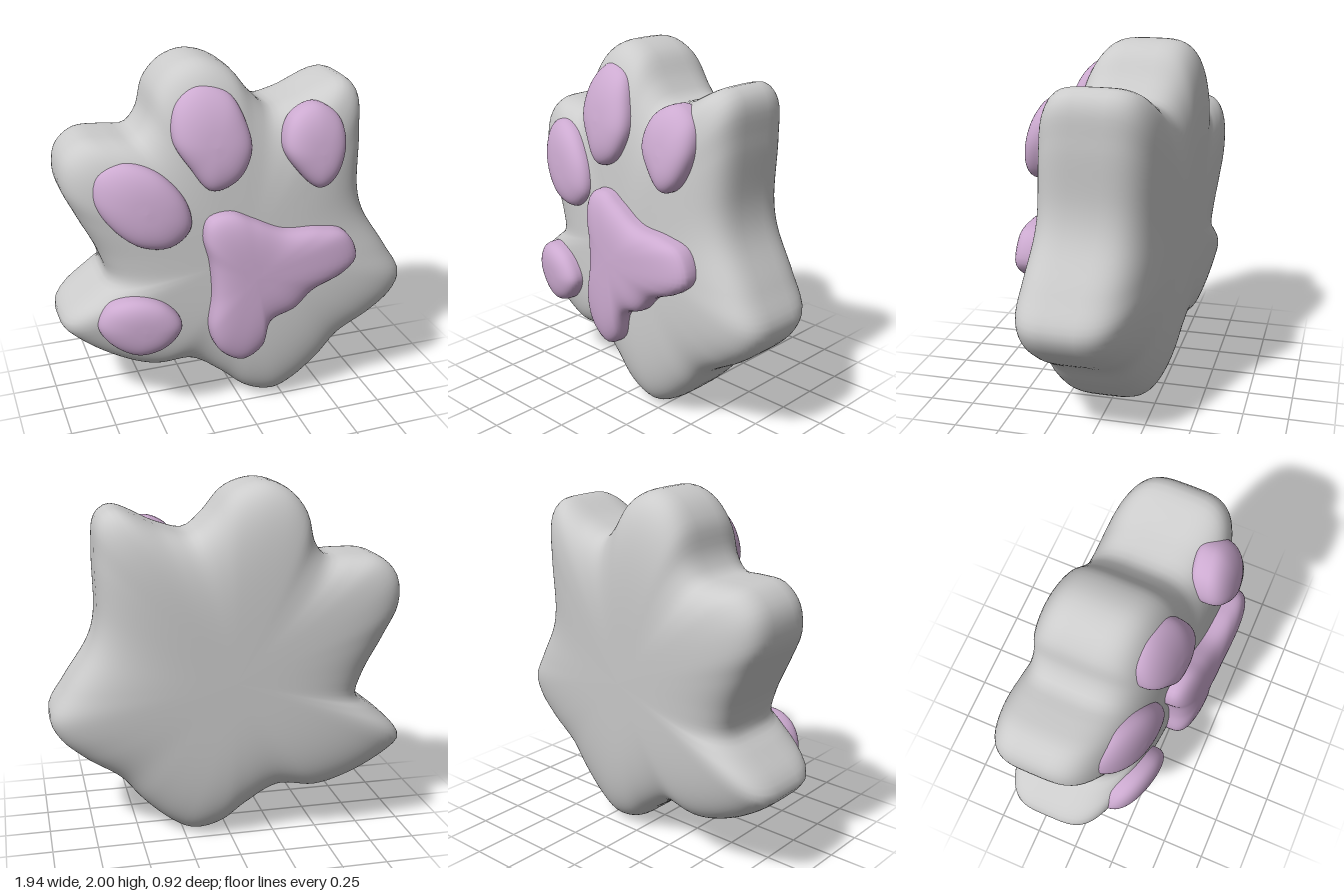
import * as THREE from 'three';

const grey = new THREE.MeshStandardMaterial({ color: 0xcccccc });
const pink = new THREE.MeshStandardMaterial({ color: 0xccaad0 });

// The whole paw lies in a slightly tilted slab: this is its mid-plane.
const midPlane = (x, y) => 0.13 * x - 0.045 * (y - 1) - 0.05;

// Pillow: a closed outline (clockwise from the front) lofted from back to front
// with a superellipse profile. A "power" below 1 gives flatter faces; "droop"
// bends the pillow back towards the edge of the paw.
function pillow(name, material, outline, [cx, cy], { halfDepth, offset, power, droop, samples, rings }) {
  const curve = new THREE.CatmullRomCurve3(
    outline.map(([x, y]) => new THREE.Vector3(x, y, 0)), true, 'centripetal');
  const rim = curve.getSpacedPoints(samples).slice(0, samples);
  const positions = [], index = [];
  for (let k = 0; k <= rings; k++) {
    const a = (k / rings - 0.5) * Math.PI;
    const s = Math.pow(Math.max(Math.cos(a), 0), power);
    const z = Math.sign(a) * Math.pow(Math.abs(Math.sin(a)), power) * halfDepth + offset;
    for (const p of rim) {
      const x = cx + (p.x - cx) * s, y = cy + (p.y - cy) * s;
      positions.push(x, y, z + midPlane(x, y) - droop * Math.hypot(x, y - 0.95) ** 4);
    }
  }
  for (let k = 0; k < rings; k++) {
    for (let i = 0; i < samples; i++) {
      const j = (i + 1) % samples;
      const a = k * samples + i, b = k * samples + j;
      const c = a + samples, d = b + samples;
      index.push(a, c, b, c, d, b);
    }
  }
  const geometry = new THREE.BufferGeometry();
  geometry.setAttribute('position', new THREE.Float32BufferAttribute(positions, 3));
  geometry.setIndex(index);
  geometry.computeVertexNormals();
  const mesh = new THREE.Mesh(geometry, material);
  mesh.name = name;
  return mesh;
}

// Outline of the paw, starting at the top toe
const pawOutline = [
  [-0.17, 2.0], [-0.02, 1.95], [0.1, 1.81], [0.2, 1.73], [0.35, 1.76], [0.6, 1.86],
  [0.68, 1.8], [0.7, 1.6], [0.7, 1.25], [0.74, 1.1], [0.88, 0.87], [0.97, 0.7],
  [0.93, 0.59], [0.8, 0.47], [0.6, 0.34], [0.48, 0.2], [0.32, 0.06], [0.2, 0.005],
  [0.05, 0.04], [-0.1, 0.16], [-0.28, 0.27], [-0.5, 0.26], [-0.7, 0.33], [-0.9, 0.46],
  [-0.97, 0.54], [-0.94, 0.61], [-0.8, 0.73], [-0.71, 0.81], [-0.74, 0.95], [-0.85, 1.18],
  [-0.92, 1.35], [-0.9, 1.5], [-0.8, 1.59], [-0.65, 1.6], [-0.52, 1.6], [-0.45, 1.68],
  [-0.4, 1.85], [-0.3, 1.96],
];

// Pads on the front face; offset is the height of each above the mid-plane
const toePads = [
  { name: 'topToePad', centre: [-0.16, 1.6], offset: 0.325, outline: [
    [-0.22, 1.89], [-0.06, 1.85], [0.02, 1.7], [0.04, 1.55], [-0.04, 1.4],
    [-0.18, 1.35], [-0.28, 1.47], [-0.36, 1.62], [-0.33, 1.8]] },
  { name: 'leftToePad', centre: [0.39, 1.53], offset: 0.345, outline: [
    [0.4, 1.77], [0.52, 1.7], [0.55, 1.56], [0.48, 1.38],
    [0.39, 1.33], [0.27, 1.44], [0.21, 1.56], [0.26, 1.71]] },
  { name: 'rightToePad', centre: [-0.53, 1.27], offset: 0.315, outline: [
    [-0.62, 1.51], [-0.45, 1.46], [-0.31, 1.3], [-0.29, 1.15], [-0.4, 1.05],
    [-0.56, 1.06], [-0.7, 1.17], [-0.78, 1.32], [-0.76, 1.45]] },
  { name: 'lowerToePad', centre: [-0.57, 0.6], offset: 0.345, outline: [
    [-0.6, 0.77], [-0.45, 0.73], [-0.36, 0.61], [-0.44, 0.48],
    [-0.6, 0.42], [-0.74, 0.49], [-0.8, 0.6], [-0.74, 0.72]] },
];
const mainPadOutline = [
  [-0.08, 1.23], [0.04, 1.18], [0.2, 1.11], [0.4, 1.1], [0.55, 1.06], [0.61, 0.92],
  [0.54, 0.84], [0.36, 0.75], [0.26, 0.65], [0.12, 0.58], [0.07, 0.42], [-0.04, 0.35],
  [-0.16, 0.42], [-0.21, 0.56], [-0.19, 0.76], [-0.2, 0.95], [-0.23, 1.1], [-0.2, 1.2],
];

const bodyForm = { halfDepth: 0.342, offset: 0, power: 0.51, droop: 0, samples: 180, rings: 48 };
const toeForm = { halfDepth: 0.11, power: 0.68, droop: 0.13, samples: 64, rings: 24 };
const mainForm = { halfDepth: 0.125, offset: 0.34, power: 0.6, droop: 0.08, samples: 96, rings: 24 };

export function createModel() {
  const group = new THREE.Group();
  group.name = 'paw';
  group.add(pillow('pawBody', grey, pawOutline, [0, 0.95], bodyForm));
  group.add(pillow('mainPad', pink, mainPadOutline, [0.02, 0.88], mainForm));
  for (const { name, centre, offset, outline } of toePads) {
    group.add(pillow(name, pink, outline, centre, { ...toeForm, offset }));
  }
  return group;
}
